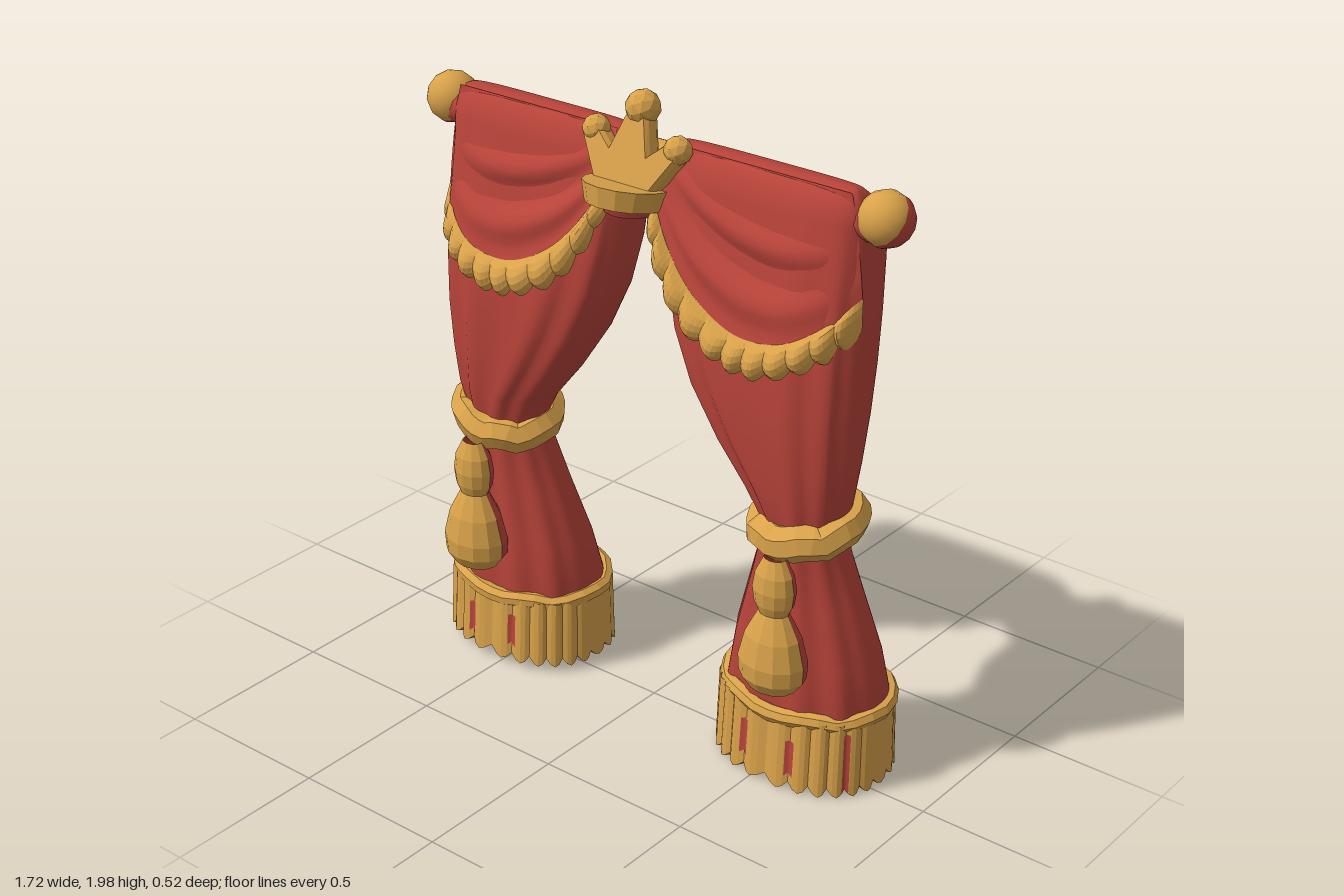
import * as THREE from 'three';
import { mergeVertices } from 'three/addons/utils/BufferGeometryUtils.js';

const red = new THREE.MeshStandardMaterial({ color: 0xb9443a, side: THREE.DoubleSide });
red.name = 'red cloth';
const gold = new THREE.MeshStandardMaterial({ color: 0xd9a24a, side: THREE.DoubleSide });
gold.name = 'gold trim';

function add(parent, name, geometry, material, x = 0, y = 0, z = 0) {
  const mesh = new THREE.Mesh(geometry, material);
  mesh.name = name;
  mesh.position.set(x, y, z);
  parent.add(mesh);
  return mesh;
}

// Faceted version of a geometry
function facet(geometry) {
  const g = geometry.index ? geometry.toNonIndexed() : geometry;
  g.computeVertexNormals();
  return g;
}

// Surface swept by f(u, v) -> [x, y, z]
function grid(f, nu, nv, flip) {
  const pos = [], idx = [];
  for (let j = 0; j <= nv; j++)
    for (let i = 0; i <= nu; i++) pos.push(...f(i / nu, j / nv));
  for (let j = 0; j < nv; j++)
    for (let i = 0; i < nu; i++) {
      const a = j * (nu + 1) + i, b = a + 1, c = a + nu + 1, d = c + 1;
      if (flip) idx.push(a, c, b, b, c, d);
      else idx.push(a, b, c, b, d, c);
    }
  let g = new THREE.BufferGeometry();
  g.setAttribute('position', new THREE.Float32BufferAttribute(pos, 3));
  g.setIndex(idx);
  g = mergeVertices(g, 1e-5);
  g.computeVertexNormals();
  return g;
}

// Curtain sections: y, inner x, outer x, back z, front z, squareness power
const sections = [
  [1.862, 0.10, 0.69, 0.01, 0.01, 0.5],
  [1.858, 0.09, 0.70, -0.03, 0.045, 0.5],
  [1.83, 0.08, 0.72, -0.068, 0.07, 0.5],
  [1.795, 0.078, 0.73, -0.09, 0.08, 0.5],
  [1.77, 0.075, 0.735, -0.138, 0.09, 0.5],
  [1.65, 0.075, 0.74, -0.14, 0.11, 0.55],
  [1.5, 0.09, 0.745, -0.138, 0.14, 0.6],
  [1.35, 0.125, 0.745, -0.13, 0.155, 0.65],
  [1.2, 0.19, 0.74, -0.115, 0.16, 0.7],
  [1.05, 0.285, 0.73, -0.095, 0.155, 0.8],
  [0.93, 0.38, 0.715, -0.08, 0.145, 0.9],
  [0.84, 0.43, 0.695, -0.08, 0.13, 1],
  [0.74, 0.415, 0.70, -0.10, 0.115, 1],
  [0.6, 0.37, 0.74, -0.135, 0.115, 1],
  [0.42, 0.315, 0.785, -0.185, 0.12, 0.95],
  [0.25, 0.287, 0.805, -0.225, 0.13, 0.9],
  [0.16, 0.31, 0.78, -0.2, 0.11, 0.9],
];

function ringPoint(s, u, [y, xi, xo, zb, zf, p], swell = 1) {
  const t = u * Math.PI * 2 - Math.PI / 2;
  const c = Math.cos(t), n = Math.sin(t);
  const pw = k => Math.sign(k) * Math.abs(k) ** p;
  return [s * ((xi + xo) / 2 + (xo - xi) / 2 * pw(c) * swell) + 0.005, y,
    (zb + zf) / 2 + (zf - zb) / 2 * pw(n) * swell];
}

function buildCurtain(s) {
  const side = new THREE.Group();
  side.name = s > 0 ? 'leftCurtain' : 'rightCurtain';
  const flip = s < 0;
  const curve = points => new THREE.CatmullRomCurve3(
    points.map(([x, y, z]) => new THREE.Vector3(s * x + 0.005, y, z)));

  // Main cloth with soft folds on the front
  add(side, 'cloth', grid((u, v) => {
    const row = sections[Math.round(v * (sections.length - 1))];
    const front = Math.max(0, -Math.cos(u * Math.PI * 2));
    const fade = Math.max(0, Math.min(1, (1.8 - row[0]) * 2));
    return ringPoint(s, u, row, 1 + 0.05 * front * fade * Math.cos(u * Math.PI * 22));
  }, 66, sections.length - 1, flip), red);

  // Rounded pleats of the hem: outer gold skin, lip and red lining
  const hemBottom = s > 0 ? 0.035 : 0.055;
  const hem = (u, v, inset) => {
    const lobe = Math.abs(Math.sin(u * Math.PI * 26));
    const row = [0.25 + (hemBottom - 0.25 - 0.025 * lobe) * v, 0.268 - 0.005 * v, 0.815 + 0.005 * v,
      -0.247 - 0.008 * v, 0.15 + 0.015 * v, 0.85];
    const front = 0.3 + 0.7 * Math.max(0, -Math.cos(u * Math.PI * 2));
    return ringPoint(s, u, row, 0.975 + 0.055 * front * lobe - inset);
  };
  add(side, 'hem', facet(grid((u, v) => hem(u, v, 0), 104, 2, flip)), gold);
  add(side, 'hemLip', grid((u, v) => hem(u, 1, 0.1 * v), 104, 1, flip), gold);
  add(side, 'hemLining', grid((u, v) => hem(u, v, 0.1), 104, 2, !flip), red);
  // Red cloth showing between a few pleats
  for (const [k, top, bottom] of [[9, 0.15, 1], [12, 0.35, 0.85], [14, 0.3, 0.8]])
    add(side, 'hemGap', grid((u, v) => hem((k + (u - 0.5) * 0.4) / 26,
      top + (bottom - top) * v, -0.006), 4, 2, flip), red);

  // Rolled cord above the hem and the tilted tie at the waist
  const loop = (name, y, cx, rx, cz, rz, tilt, lean, r) => {
    const pts = [];
    for (let i = 0; i < 18; i++) {
      const t = i / 18 * Math.PI * 2, z = cz + rz * Math.sin(t);
      pts.push(new THREE.Vector3(s * (cx + rx * Math.cos(t)) + 0.005,
        y - z * tilt + lean * Math.cos(t) + 0.007 * Math.sin(i * 2.4), z));
    }
    const path = new THREE.CatmullRomCurve3(pts, true);
    return add(side, name, facet(new THREE.TubeGeometry(path, 28, r, 7, true)), gold);
  };
  loop('hemCord', 0.25, 0.545, 0.26, -0.048, 0.188, 0.08, 0, 0.026);
  loop('waistTie', 0.838, 0.57, 0.13, 0.018, 0.112, 0.24, 0.02, 0.056);

  // Pear-shaped tassel, gold in front and red behind
  const profile = [[0.001, 0.35], [0.075, 0.36], [0.105, 0.4], [0.108, 0.45], [0.088, 0.53],
    [0.062, 0.58], [0.048, 0.605], [0.062, 0.635], [0.068, 0.68], [0.06, 0.73], [0.035, 0.78]]
    .map(([x, y]) => new THREE.Vector2(x, y));
  const half = (name, start, mat) => {
    const g = new THREE.LatheGeometry(profile, 6, start, Math.PI);
    g.scale(1, 1, 0.8);
    add(side, name, facet(g), mat, s * 0.575 + 0.003, 0, 0.175);
  };
  half('tasselFront', -Math.PI / 2, gold);
  half('tasselBack', Math.PI / 2, red);

  // Upper and lower edges of the swag trim
  const upper = curve([[0.75, 1.575, 0.05], [0.67, 1.49, 0.125], [0.58, 1.435, 0.165], [0.485, 1.415, 0.175],
    [0.39, 1.425, 0.175], [0.26, 1.495, 0.165], [0.16, 1.6, 0.145], [0.09, 1.72, 0.12]]);
  const lower = curve([[0.75, 1.46, 0.05], [0.69, 1.395, 0.125], [0.60, 1.345, 0.18], [0.475, 1.31, 0.195],
    [0.36, 1.33, 0.195], [0.23, 1.395, 0.18], [0.13, 1.52, 0.155], [0.06, 1.67, 0.12]]);

  // Draped swag hung over the top of the curtain
  add(side, 'swag', grid((u, v) => {
    const e = upper.getPoint(u).lerp(lower.getPoint(u), 0.2), mid = Math.sin(u * Math.PI);
    const tx = s * (0.70 - 0.6 * u) + 0.005;
    const w = v + 0.08 * Math.sin(v * Math.PI);
    const fold = mid * Math.sin(v * Math.PI) * 0.02 * Math.sin(v * 17 + 3 * u);
    return [tx + (e.x - tx) * Math.min(1, w * 1.1 - 0.1 * w * w),
      1.86 + (e.y - 1.86) * v, 0.045 + (e.z - 0.045) * w + fold];
  }, 24, 20, flip), red);

  // Broad scalloped trim, gold in front and red behind
  const trim = (u, v, bulge) => {
    const lobe = Math.abs(Math.sin(u * Math.PI * 11));
    const p = upper.getPoint(u).lerp(lower.getPoint(u), v * (0.82 + 0.22 * lobe));
    const ends = Math.min(1, u * 14, (1 - u) * 14);
    return [p.x, p.y, p.z + bulge * ends * Math.sin(v * Math.PI) ** 0.7 * (0.5 + 0.5 * lobe)];
  };
  add(side, 'swagTrim', facet(grid((u, v) => trim(u, v, 0.036), 66, 5, flip)), gold);
  add(side, 'swagTrimBack', facet(grid((u, v) => trim(u, v, -0.02), 66, 3, !flip)), red);

  // Finial ball: gold cap facing front and up, red remainder
  const finial = new THREE.Group();
  finial.name = 'finial';
  finial.position.set(s * 0.778, 1.79, -0.01);
  finial.rotation.set(0.95, 0, s * 0.3);
  const split = Math.PI * 0.48;
  add(finial, 'finialCap', new THREE.SphereGeometry(0.08, 12, 6, 0, Math.PI * 2, 0, split), gold);
  add(finial, 'finialBack', new THREE.SphereGeometry(0.08, 12, 6, 0, Math.PI * 2, split, Math.PI - split), red);
  side.add(finial);
  return side;
}

function buildCrown() {
  const crown = new THREE.Group();
  crown.name = 'crown';

  // Fan of points leaning back, tipped with faceted balls
  const fan = new THREE.Group();
  fan.name = 'crownFan';
  fan.position.set(0, 1.72, 0.13);
  fan.rotation.x = -0.35;
  const shape = new THREE.Shape([[-0.085, 0], [0.085, 0], [0.165, 0.13], [0.13, 0.16], [0.065, 0.105],
    [0.03, 0.21], [-0.03, 0.21], [-0.065, 0.105], [-0.13, 0.16], [-0.165, 0.13]]
    .map(([x, y]) => new THREE.Vector2(x, y)));
  add(fan, 'crownPoints', new THREE.ExtrudeGeometry(shape,
    { depth: 0.035, bevelSize: 0.008, bevelThickness: 0.015, bevelSegments: 1 }), gold, 0, 0, -0.022);
  for (const [x, y, r] of [[0, 0.238, 0.052], [-0.143, 0.148, 0.042], [0.148, 0.148, 0.042]])
    add(fan, 'crownBall', facet(new THREE.IcosahedronGeometry(r, 1)), gold, x, y, 0);
  crown.add(fan);

  // Band jutting forward, with a red underside
  const band = add(crown, 'crownBand', facet(new THREE.CylinderGeometry(0.125, 0.11, 0.06, 14)), gold, 0.008, 1.717, 0.14);
  band.rotation.x = -0.2;
  add(crown, 'crownLining', new THREE.CylinderGeometry(0.1, 0.09, 0.03, 14), red, 0.008, 1.68, 0.1);
  return crown;
}

export function createModel() {
  const model = new THREE.Group();
  model.name = 'curtains';
  for (const s of [-1, 1]) model.add(buildCurtain(s));
  model.add(buildCrown());

  // Rod: red core with a short gold clasp over its middle
  const rod = new THREE.CylinderGeometry(0.055, 0.055, 1.5, 12).rotateZ(Math.PI / 2);
  add(model, 'rod', rod, red, 0, 1.775, 0);
  const clasp = new THREE.CylinderGeometry(0.062, 0.062, 0.1, 10, 1, false, Math.PI * 0.1, Math.PI * 0.8).rotateZ(Math.PI / 2);
  add(model, 'rodClasp', clasp, gold, 0.03, 1.775, 0);
  return model;
}
